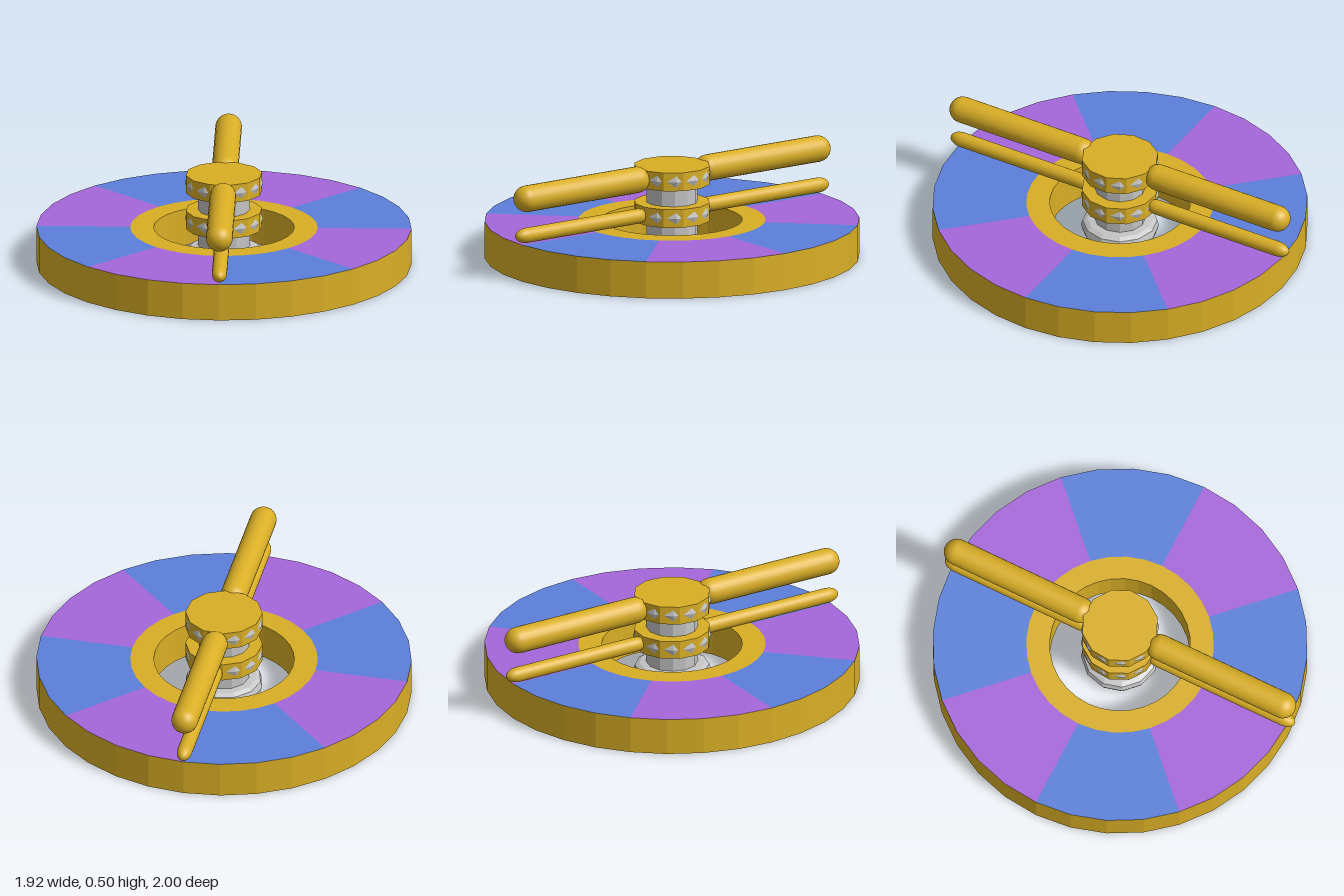
import * as THREE from 'three';

const gold = new THREE.MeshStandardMaterial({ color: 0xd9ae25 });
gold.name = 'gold';
const silver = new THREE.MeshStandardMaterial({ color: 0xc4c4c4 });
silver.name = 'silver';
const blue = new THREE.MeshStandardMaterial({ color: 0x5b7fda });
blue.name = 'blue';
const purple = new THREE.MeshStandardMaterial({ color: 0xa566da });
purple.name = 'purple';

const OUTER = 0.96, RIM = 0.48, HOLE = 0.36, THICK = 0.192, HUB = 0.096;

// Faceted copy of a geometry
function faceted(geometry) {
  const g = geometry.toNonIndexed();
  g.computeVertexNormals();
  return g;
}

function lathe(points, sides) {
  return faceted(new THREE.LatheGeometry(points.map(([r, y]) => new THREE.Vector2(r, y)), sides));
}

export function createModel() {
  const model = new THREE.Group();
  const add = (name, geometry, material, parent = model) => {
    const mesh = new THREE.Mesh(geometry, material);
    mesh.name = name;
    parent.add(mesh);
    return mesh;
  };

  // Wheel: gold walls and inner rim
  const wheel = new THREE.Group();
  wheel.name = 'wheel';
  model.add(wheel);
  add('outerWall', lathe([[OUTER, 0], [OUTER, THICK]], 32), gold, wheel);
  add('innerRim', lathe([[RIM, THICK], [HOLE, THICK], [HOLE, 0]], 32), gold, wheel);

  // Alternating sectors on the top and bottom faces
  const step = Math.PI / 4;
  for (let i = 0; i < 8; i++) {
    const colour = i % 2 ? purple : blue;
    const top = add('topSector', new THREE.RingGeometry(RIM, OUTER, 4, 1, i * step, step), colour, wheel);
    top.rotation.x = -Math.PI / 2;
    top.position.y = THICK;
    const bottom = add('bottomSector', new THREE.RingGeometry(HOLE, OUTER, 4, 1, -(i + 1) * step, step), colour, wheel);
    bottom.rotation.x = Math.PI / 2;
  }

  // Silver spindle with three rounded bulges
  const profile = [[0, 0]];
  const bulge = [[0.132, 0.001], [0.168, 0.005], [0.191, 0.018], [0.2, 0.048],
    [0.191, 0.078], [0.168, 0.091], [0.132, 0.095]];
  for (let i = 0; i < 3; i++) {
    for (const [r, y] of bulge) profile.push([r, y + i * 2 * HUB]);
  }
  profile.push([0, 0.475]);
  add('spindle', lathe(profile, 12), silver);

  // Two hubs, each with a pair of rounded bars; the lower bars are thinner
  [[0.24, 0.57, 'lower'], [0.432, 1, 'upper']].forEach(([y, slim, level]) => {
    const hub = add(level + 'Hub', faceted(new THREE.CylinderGeometry(0.197, 0.197, HUB, 12)), gold);
    hub.position.y = y;
    hub.rotation.y = Math.PI / 18;
    for (const side of [1, -1]) {
      const bar = add(level + 'Bar', new THREE.CapsuleGeometry(0.068, 0.704, 8, 24), gold);
      bar.rotation.x = Math.PI / 2;
      bar.scale.set(slim, 1, slim);
      bar.position.set(0, y, side * 0.58);
    }
  });

  return model;
}
